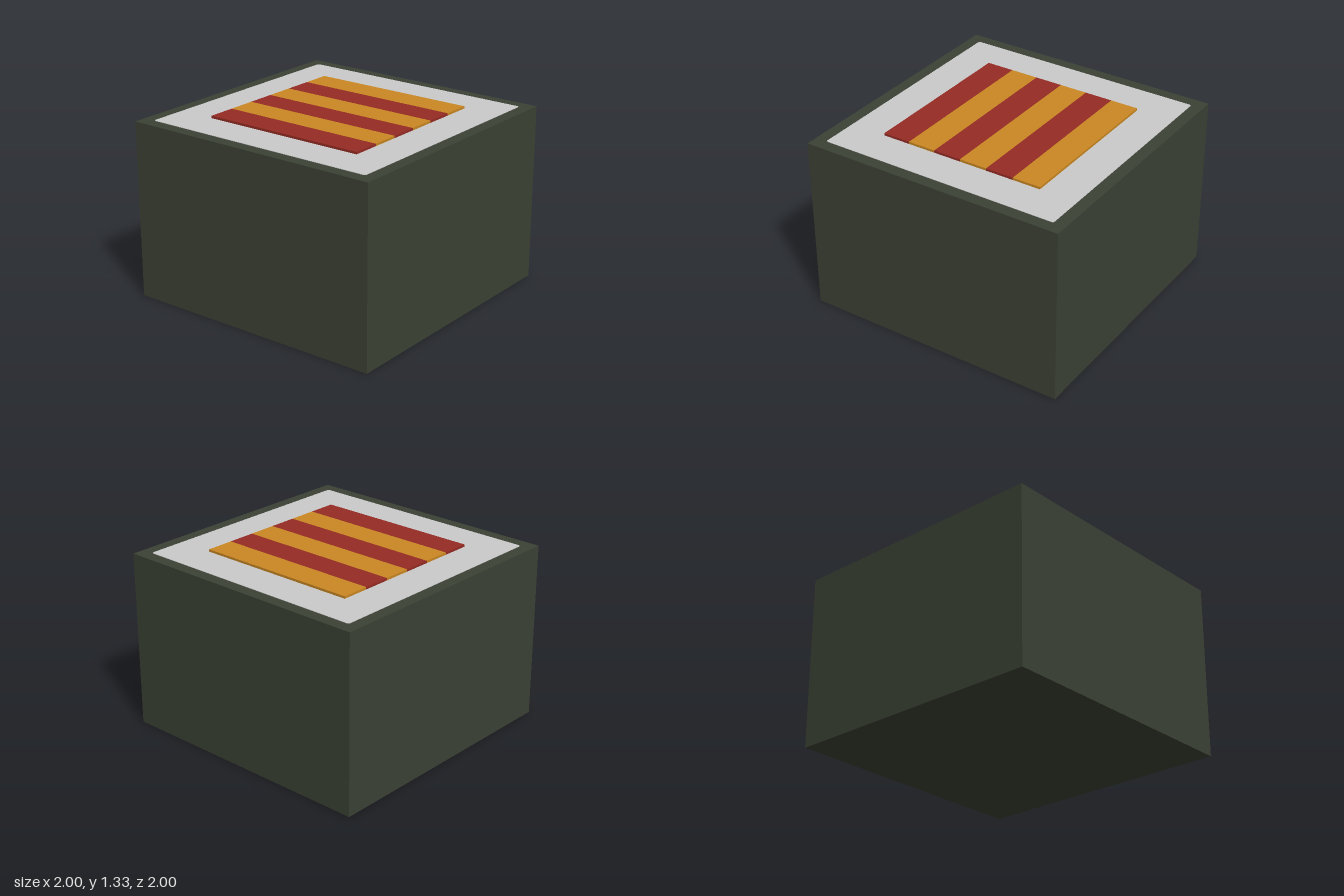
import * as THREE from 'three';

const mat = (name, color) => {
  const m = new THREE.MeshStandardMaterial({ color });
  m.name = name;
  return m;
};

export function createModel() {
  const model = new THREE.Group();
  model.name = 'stripedBlock';
  const green = mat('dark green', 0x3c4235);
  const grey = mat('light grey', 0xcbcbcb);
  const red = mat('brick red', 0x962b23);
  const amber = mat('amber', 0xcb8822);

  const add = (name, geometry, material, x, y, z) => {
    const mesh = new THREE.Mesh(geometry, material);
    mesh.name = name;
    mesh.position.set(x, y, z);
    model.add(mesh);
  };

  // Solid body
  const top = 1.31;
  add('body', new THREE.BoxGeometry(2, top, 2), green, 0, top / 2, 0);

  // Thin top panel with slightly rounded corners
  const h = 0.91, r = 0.015, q = Math.PI / 2;
  const outline = new THREE.Shape();
  [[1, 1], [-1, 1], [-1, -1], [1, -1]].forEach(([sx, sy], i) =>
    outline.absarc(sx * (h - r), sy * (h - r), r, i * q, (i + 1) * q, false));
  outline.closePath();
  const panel = new THREE.ExtrudeGeometry(outline, { depth: 0.003, bevelEnabled: false, curveSegments: 4 });
  panel.rotateX(-q);
  add('topPanel', panel, grey, 0, top, 0);

  // Six alternating raised stripes, running front to back
  const side = 1.26, count = 6, width = side / count, thick = 0.02;
  for (let i = 0; i < count; i++) {
    add(`stripe${i + 1}`, new THREE.BoxGeometry(width, thick, side), i % 2 ? amber : red,
      -side / 2 + (i + 0.5) * width, top + thick / 2, 0);
  }
  return model;
}
